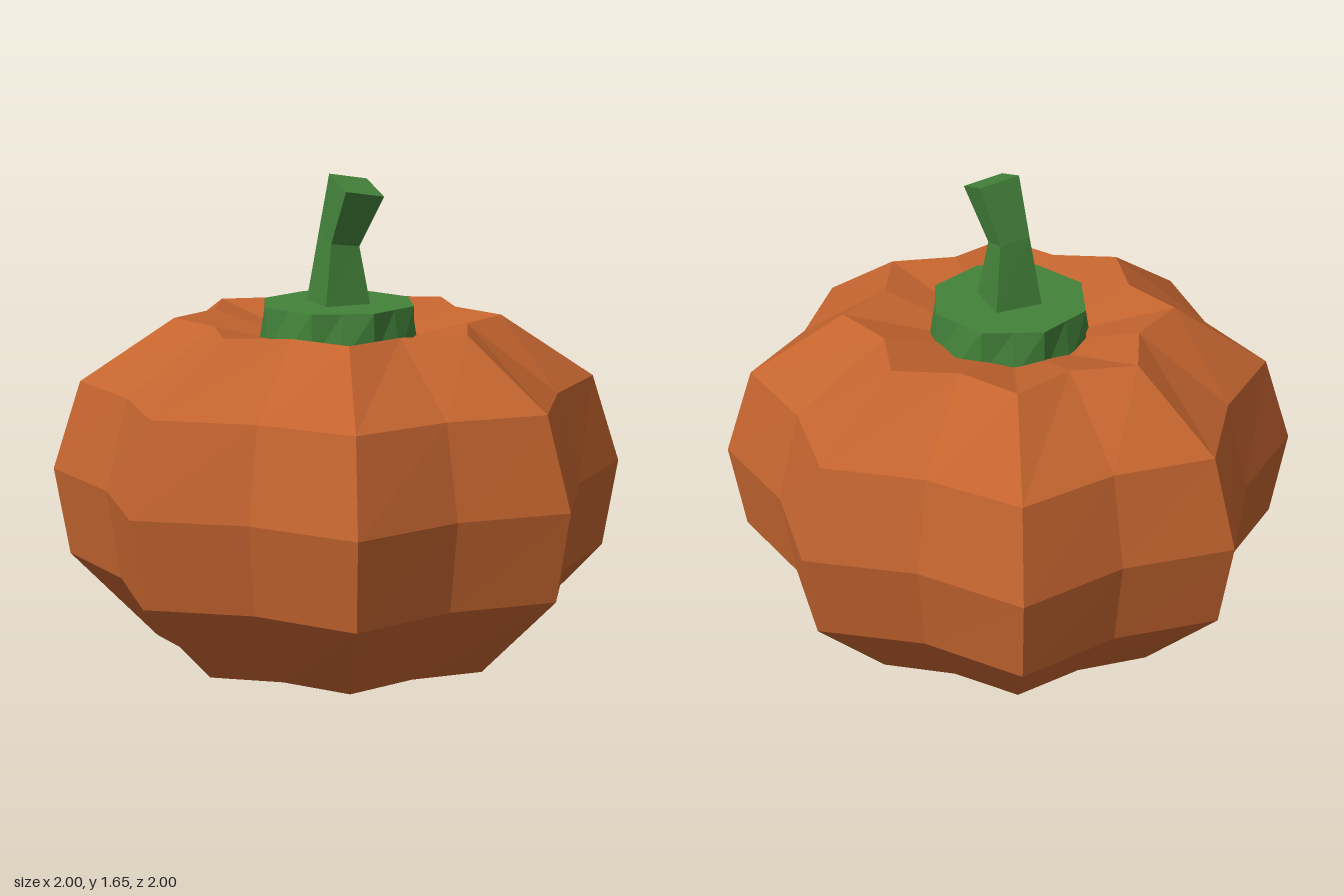
import * as THREE from 'three';

const orange = new THREE.MeshStandardMaterial({ color: 0xc4642f, flatShading: true });
const green = new THREE.MeshStandardMaterial({ color: 0x43823a, flatShading: true });

// Skins a stack of rings (counter-clockwise seen from above) and closes both ends.
function loft(rings, name, material) {
  const n = rings[0].length;
  const pos = [];
  const tri = (...pts) => pts.forEach((p) => pos.push(p.x, p.y, p.z));
  const centre = (ring) =>
    ring.reduce((s, p) => s.add(p), new THREE.Vector3()).divideScalar(n);
  const first = rings[0];
  const last = rings[rings.length - 1];
  const bottom = centre(first);
  const top = centre(last);
  for (let j = 0; j < n; j++) {
    const k = (j + 1) % n;
    for (let i = 0; i < rings.length - 1; i++) {
      const lo = rings[i];
      const hi = rings[i + 1];
      tri(lo[j], lo[k], hi[k]);
      tri(lo[j], hi[k], hi[j]);
    }
    tri(bottom, first[k], first[j]);
    tri(top, last[j], last[k]);
  }
  const geo = new THREE.BufferGeometry();
  geo.setAttribute('position', new THREE.Float32BufferAttribute(pos, 3));
  geo.computeVertexNormals();
  const mesh = new THREE.Mesh(geo, material);
  mesh.name = name;
  return mesh;
}

// 16-point ring alternating between two radii.
function lobedRing(y, even, odd) {
  return Array.from({ length: 16 }, (_, j) => {
    const a = (j * Math.PI) / 8;
    const r = j % 2 ? odd : even;
    return new THREE.Vector3(Math.sin(a) * r, y, Math.cos(a) * r);
  });
}

export function createModel() {
  const group = new THREE.Group();
  group.name = 'pumpkin';

  // Ribbed body with eight ridges and a dished top: height, ridge radius, valley radius
  const body = [
    [0, 0.65, 0.565],
    [0.31, 0.95, 0.82],
    [0.62, 1, 0.865],
    [0.93, 0.9, 0.785],
    [1.15, 0.57, 0.465],
    [1.03, 0.06, 0.055],
  ].map((r) => lobedRing(...r));
  group.add(loft(body, 'body', orange));

  // Stem collar: 16-sided foot meeting an octagonal top
  const collar = [
    lobedRing(1.04, 0.28, 0.278),
    lobedRing(1.2, 0.254, 0.275),
  ];
  group.add(loft(collar, 'stemCollar', green));

  // Four-sided stem, pinched in the middle and bent forward
  const stem = [
    { c: [0, 1.19, 0], r: 0.12, tilt: 0 },
    { c: [0, 1.42, 0.003], r: 0.075, tilt: 0.3 },
    { c: [0, 1.612, 0.083], r: 0.1, tilt: 0.38 },
  ].map(({ c, r, tilt }) =>
    Array.from({ length: 4 }, (_, j) => {
      const a = 0.36 + (j * Math.PI) / 2;
      const x = Math.sin(a) * r;
      const z = Math.cos(a) * r;
      return new THREE.Vector3(c[0] + x, c[1] - z * tilt, c[2] + z);
    })
  );
  group.add(loft(stem, 'stem', green));

  return group;
}
